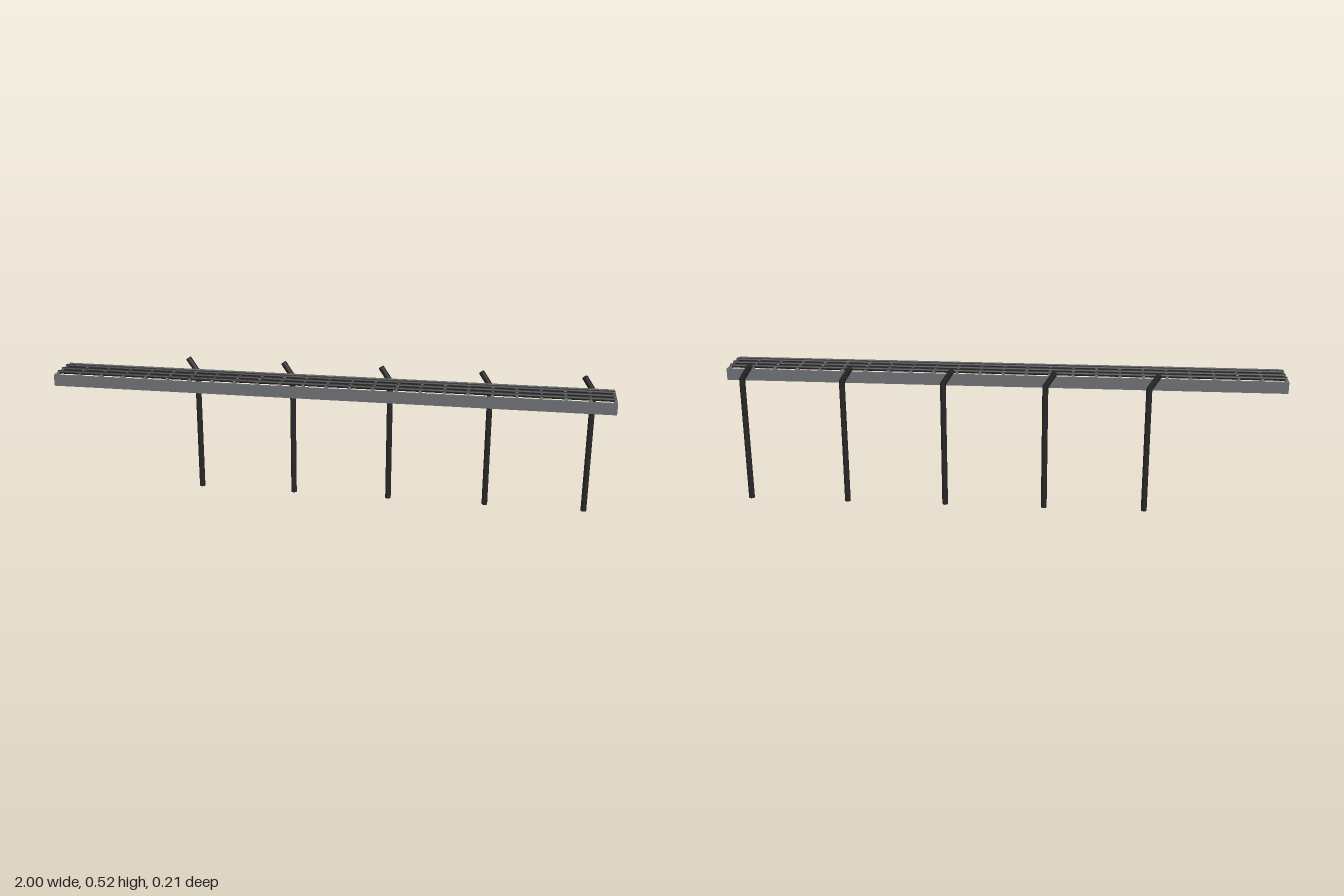
import * as THREE from 'three';

export function createModel() {
  const model = new THREE.Group();
  model.name = 'cableTray';
  const steel = new THREE.MeshStandardMaterial({ color: 0x6b6e72 });
  steel.name = 'grey steel';
  const black = new THREE.MeshStandardMaterial({ color: 0x262626 });
  black.name = 'black';

  const add = (parent, name, geometry, material, x, y, z) => {
    const mesh = new THREE.Mesh(geometry, material);
    mesh.name = name;
    mesh.position.set(x, y, z);
    parent.add(mesh);
    return mesh;
  };

  // Side rails: two thin upright strips along the whole length
  const top = 0.484, front = 0.105, back = -0.052, railT = 0.006, railH = 0.042;
  const railGeo = new THREE.BoxGeometry(2, railH, railT);
  add(model, 'frontRail', railGeo, steel, 0, top - railH / 2, front - railT / 2);
  add(model, 'backRail', railGeo, steel, 0, top - railH / 2, back + railT / 2);

  // Rungs between the rails
  const rungs = 25, rungW = 0.01;
  const rungGeo = new THREE.BoxGeometry(rungW, 0.0095, front - back - 2 * railT);
  for (let i = 0; i < rungs; i++) {
    const x = -1 + rungW / 2 + (i * (2 - rungW)) / (rungs - 1);
    add(model, 'rung', rungGeo, steel, x, top - 0.00485, (front + back) / 2);
  }

  // Three cables resting on the rungs
  const cableGeo = new THREE.CylinderGeometry(0.007, 0.007, 1.996, 12).rotateZ(Math.PI / 2);
  for (const z of [0.066, 0.027, -0.012]) add(model, 'cable', cableGeo, black, 0, top, z);

  // Posts behind the tray, each with a short bent arm at the top
  const r = 0.0105, bendY = 0.46, tilt = 0.58, armL = 0.062;
  const shaftGeo = new THREE.CylinderGeometry(r, r, bendY, 16);
  const elbowGeo = new THREE.SphereGeometry(r, 16, 12);
  const armGeo = new THREE.CylinderGeometry(r, r, armL, 16).translate(0, armL / 2, 0);
  for (let i = 0; i < 5; i++) {
    const post = new THREE.Group();
    post.name = 'post';
    post.position.set(-0.516 + i * 0.3618, 0, -0.094);
    add(post, 'postShaft', shaftGeo, black, 0, bendY / 2, 0);
    add(post, 'postElbow', elbowGeo, black, 0, bendY, 0);
    add(post, 'postArm', armGeo, black, 0, bendY, 0).rotation.z = tilt;
    model.add(post);
  }
  return model;
}
